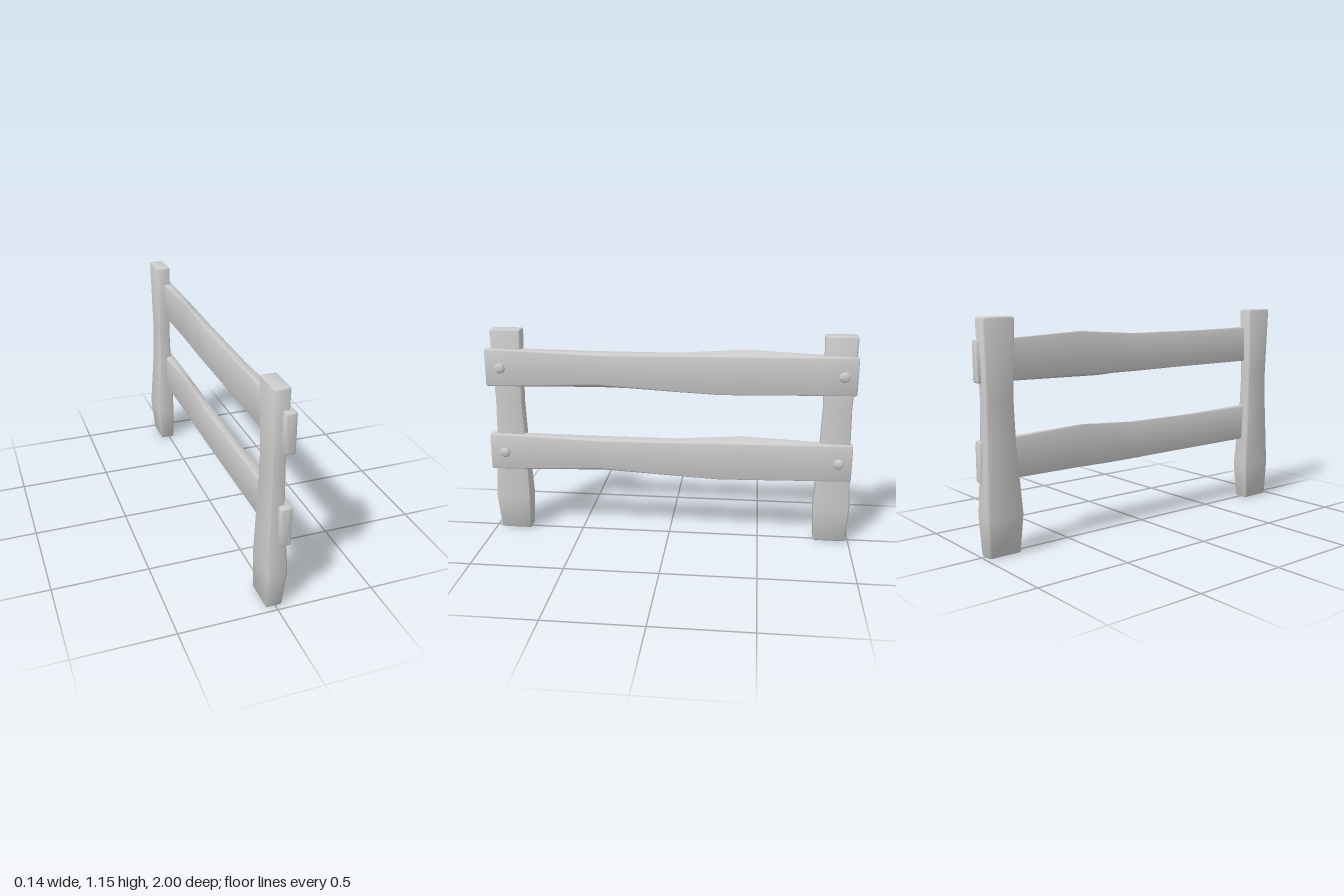
import * as THREE from 'three';
import { toCreasedNormals } from 'three/addons/utils/BufferGeometryUtils.js';

const material = new THREE.MeshStandardMaterial({ color: 0xcccccc });

// Four corners (counter-clockwise seen from +y) pulled in by `inset`, each rounded with three points
function roundedRing(corners, inset, r) {
  const P = corners.map(([u, v]) => new THREE.Vector2(u, v));
  const ring = [];
  P.forEach((p, i) => {
    const a = P[(i + 3) % 4].clone().sub(p).normalize();
    const b = P[(i + 1) % 4].clone().sub(p).normalize();
    const q = p.clone().addScaledVector(a, inset).addScaledVector(b, inset);
    ring.push(q.clone().addScaledVector(a, r));
    ring.push(q.clone().addScaledVector(a, r * 0.293).addScaledVector(b, r * 0.293));
    ring.push(q.clone().addScaledVector(b, r));
  });
  return ring;
}

// Beam along y through sections { t, corners }, with softened ends
function beam(sections, r) {
  const first = sections[0], last = sections[sections.length - 1];
  const rows = [];
  const add = (t, corners, inset) => rows.push({ t, ring: roundedRing(corners, inset, r) });
  add(first.t, first.corners, r);
  add(first.t + r * 0.293, first.corners, r * 0.293);
  add(first.t + r, first.corners, 0);
  sections.slice(1, -1).forEach((s) => add(s.t, s.corners, 0));
  add(last.t - r, last.corners, 0);
  add(last.t - r * 0.293, last.corners, r * 0.293);
  add(last.t, last.corners, r);

  const n = 12, positions = [], index = [];
  rows.forEach(({ t, ring }) => ring.forEach((p) => positions.push(p.x, t, p.y)));
  for (let i = 0; i < rows.length - 1; i++) {
    for (let j = 0; j < n; j++) {
      const a = i * n + j, b = i * n + (j + 1) % n;
      index.push(a, b, b + n, a, b + n, a + n);
    }
  }
  const top = (rows.length - 1) * n;
  for (let j = 1; j < n - 1; j++) {
    index.push(0, j + 1, j);
    index.push(top, top + j, top + j + 1);
  }
  const g = new THREE.BufferGeometry();
  g.setAttribute('position', new THREE.Float32BufferAttribute(positions, 3));
  g.setIndex(index);
  return g;
}

// Post: [y, x0, x1, z0, z1] about its own axis, swelling near the foot
function postGeometry() {
  const sections = [
    [0, -0.04, 0.043, -0.088, 0.086],
    [0.2, -0.042, 0.06, -0.098, 0.099],
    [0.55, -0.036, 0.038, -0.08, 0.08],
    [0.76, -0.033, 0.035, -0.074, 0.075],
    [1.155, -0.04, 0.04, -0.085, 0.084],
  ].map(([t, x0, x1, z0, z1]) => ({ t, corners: [[x0, z0], [x0, z1], [x1, z1], [x1, z0]] }));
  return toCreasedNormals(beam(sections, 0.009), 0.85);
}

// Rail: [z, outer top, inner top, outer bottom, inner bottom], heights about its centre line
function railGeometry() {
  const x0 = -0.005, x1 = 0.05;
  const sections = [
    [1, 0.102, 0.102, -0.102, -0.102],
    [0.8, 0.1, 0.102, -0.099, -0.102],
    [0.39, 0.086, 0.099, -0.08, -0.105],
    [-0.05, 0.09, 0.1, -0.107, -0.106],
    [-0.27, 0.094, 0.116, -0.118, -0.104],
    [-0.4, 0.096, 0.126, -0.116, -0.1],
    [-0.8, 0.101, 0.106, -0.106, -0.101],
    [-0.99, 0.102, 0.102, -0.102, -0.102],
  ].map(([z, ot, it, ob, ib]) => ({ t: -z, corners: [[x0, ib], [x0, it], [x1, ot], [x1, ob]] }));
  const g = beam(sections, 0.008);
  g.rotateX(-Math.PI / 2);
  return toCreasedNormals(g, 0.85);
}

// Bolt head: short bevelled plug pointing along +x
function boltGeometry() {
  const profile = [[0.026, -0.01], [0.029, 0.006], [0.027, 0.012], [0.02, 0.017], [0, 0.017]]
    .map(([r, y]) => new THREE.Vector2(r, y));
  const g = new THREE.LatheGeometry(profile, 10);
  g.rotateZ(-Math.PI / 2);
  return toCreasedNormals(g, 0.65);
}

export function createModel() {
  const group = new THREE.Group();
  const place = (name, geometry, x, y, z, turn = 0) => {
    const mesh = new THREE.Mesh(geometry, material);
    mesh.name = name;
    mesh.position.set(x, y, z);
    mesh.rotation.y = turn;
    group.add(mesh);
  };

  // Two posts, the back one turned half around
  const post = postGeometry();
  place('frontPost', post, -0.01, 0, 0.885);
  place('backPost', post, -0.01, 0, -0.898, Math.PI);

  // Two rails, each held by a bolt at both ends
  const rail = railGeometry(), bolt = boltGeometry();
  for (const [name, y] of [['upper', 0.947], ['lower', 0.467]]) {
    place(name + 'Rail', rail, 0, y, 0);
    place(name + 'FrontBolt', bolt, 0.05, y, 0.915);
    place(name + 'BackBolt', bolt, 0.05, y, -0.918);
  }
  return group;
}
